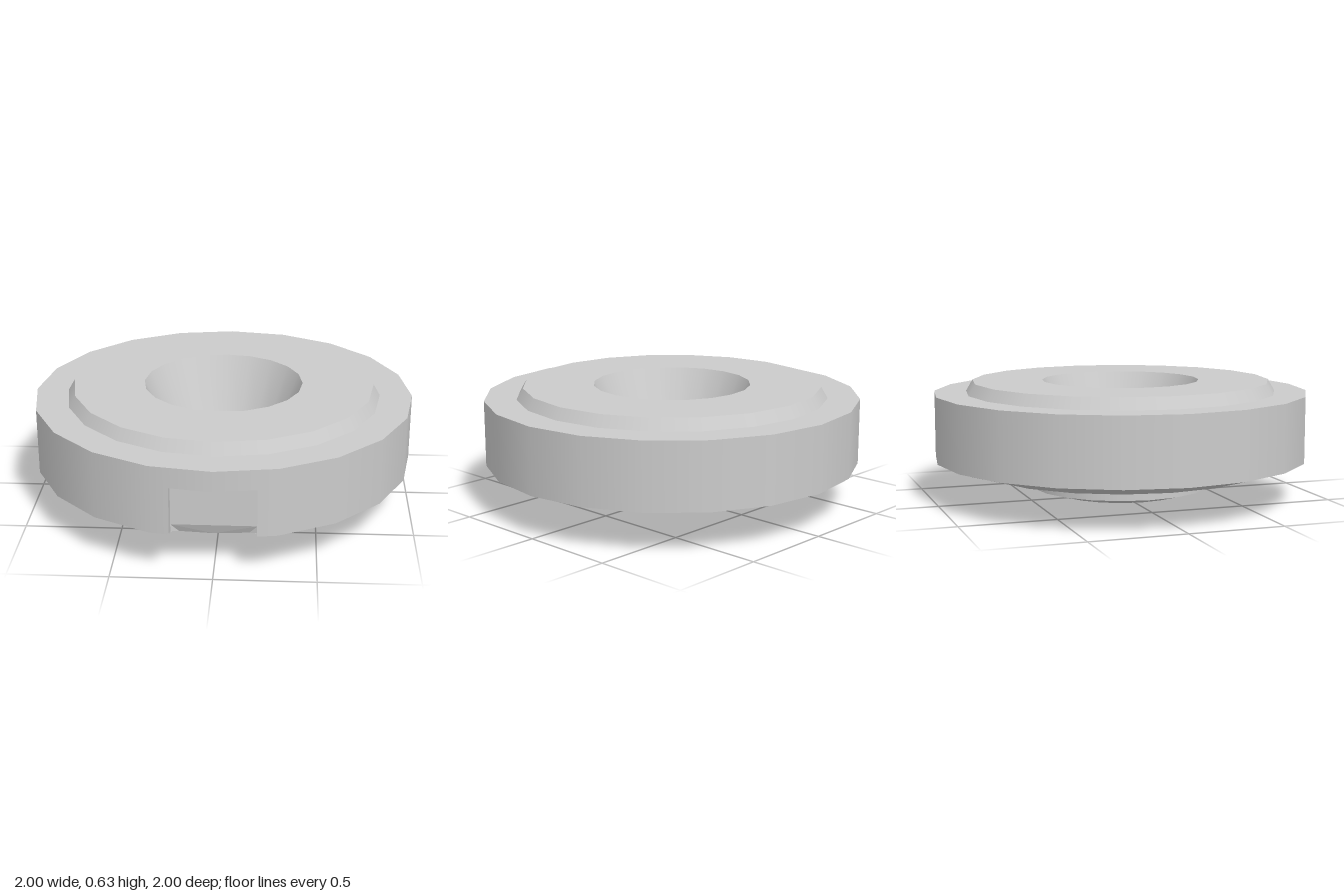
import * as THREE from 'three';

const SIDES = 20;
const STEP = (Math.PI * 2) / SIDES;
const material = new THREE.MeshStandardMaterial({ color: 0xcccccc });

// Surface of revolution; gap leaves out the two facets either side of the front
function turned(name, profile, gap = false) {
  const points = profile.map(([r, y]) => new THREE.Vector2(r, y));
  const geometry = gap
    ? new THREE.LatheGeometry(points, SIDES - 2, STEP, Math.PI * 2 - 2 * STEP)
    : new THREE.LatheGeometry(points, SIDES);
  const mesh = new THREE.Mesh(geometry, material);
  mesh.name = name;
  return mesh;
}

// Convex faces given for +x (counter-clockwise from outside), mirrored to -x.
// slope = [radial, vertical] gives smooth normals matching the turned surfaces.
function mirroredFaces(name, faces, slope) {
  const positions = [];
  for (const face of faces) {
    for (let i = 1; i < face.length - 1; i++) {
      const tri = [face[0], face[i], face[i + 1]];
      for (const p of tri) positions.push(...p);
      for (const [x, y, z] of tri.reverse()) positions.push(-x, y, z);
    }
  }
  const geometry = new THREE.BufferGeometry();
  geometry.setAttribute('position', new THREE.Float32BufferAttribute(positions, 3));
  geometry.computeVertexNormals();
  if (slope) {
    const p = geometry.attributes.position;
    for (let i = 0; i < p.count; i++) {
      const r = Math.hypot(p.getX(i), p.getZ(i));
      const n = new THREE.Vector3((p.getX(i) / r) * slope[0], slope[1], (p.getZ(i) / r) * slope[0]).normalize();
      geometry.attributes.normal.setXYZ(i, n.x, n.y, n.z);
    }
  }
  const mesh = new THREE.Mesh(geometry, material);
  mesh.name = name;
  return mesh;
}

export function createModel() {
  const group = new THREE.Group();
  const rimY = 0.22, topY = 0.57, innerR = 0.78, innerY = 0.155;

  // Foot: shallow dome and short collar
  group.add(
    turned('footDome', [[0, 0], [0.22, 0.004], [0.35, 0.023], [0.48, 0.06]]),
    turned('footCollar', [[0.48, 0.06], [0.48, 0.11]]),
  );

  // Body: bowl-shaped underside, outer wall and flat shoulder
  group.add(
    turned('undersideInner', [[0.48, 0.11], [innerR, innerY]]),
    turned('undersideOuter', [[innerR, innerY], [1, rimY]], true),
    turned('outerWall', [[1, rimY], [1, topY]], true),
    turned('shoulder', [[1, topY], [0.83, topY]]),
  );

  // Raised top with a tapered well
  group.add(
    turned('raisedBevel', [[0.83, topY], [0.795, 0.63]]),
    turned('raisedTop', [[0.795, 0.63], [0.42, 0.63]]),
    turned('wellWall', [[0.42, 0.63], [0.295, 0.34]]),
    turned('wellFloor', [[0.295, 0.34], [0, 0.34]]),
  );

  // Front facets, cut by the notch
  const s = Math.sin(STEP), c = Math.cos(STEP), half = STEP / 2;
  const halfW = 0.21, notchTop = 0.465, lipY = 0.235, floorZ = 0.89, lipZ = 0.87;
  const wall = (x, y) => [x, y, 1 - (x * (1 - c)) / s];
  const under = (x, z) => {
    const r = (x * Math.sin(half) + z * Math.cos(half)) / Math.cos(half);
    return [x, rimY - ((1 - r) * (rimY - innerY)) / (1 - innerR), z];
  };
  const edgeZ = wall(halfW, 0)[2];
  const lipMid = under(0, lipZ), lipEnd = under(0.17, lipZ), corner = under(halfW, floorZ);
  const outerEnd = under(s, c), innerEnd = under(s * innerR, c * innerR);

  group.add(
    mirroredFaces('frontWall', [
      [wall(0, notchTop), wall(halfW, notchTop), wall(halfW, topY), wall(0, topY)],
      [wall(halfW, rimY), wall(s, rimY), wall(s, topY), wall(halfW, topY)],
    ], [1, 0]),
    mirroredFaces('frontUnderside', [
      [lipMid, under(0, innerR), innerEnd, lipEnd],
      [lipEnd, innerEnd, outerEnd, corner],
      [corner, outerEnd, under(halfW, edgeZ)],
    ], [rimY - innerY, innerR - 1]),
    mirroredFaces('notch', [
      // back panel
      [[0, lipY, floorZ], [halfW, lipY, floorZ], [halfW, notchTop, floorZ], [0, notchTop, floorZ]],
      // ceiling
      [[0, notchTop, floorZ], [halfW, notchTop, floorZ], wall(halfW, notchTop), wall(0, notchTop)],
      // side
      [corner, under(halfW, edgeZ), wall(halfW, notchTop), [halfW, notchTop, floorZ]],
      // sloped lip and its corner
      [lipMid, lipEnd, [halfW, lipY, floorZ], [0, lipY, floorZ]],
      [lipEnd, corner, [halfW, lipY, floorZ]],
    ]),
  );
  return group;
}
